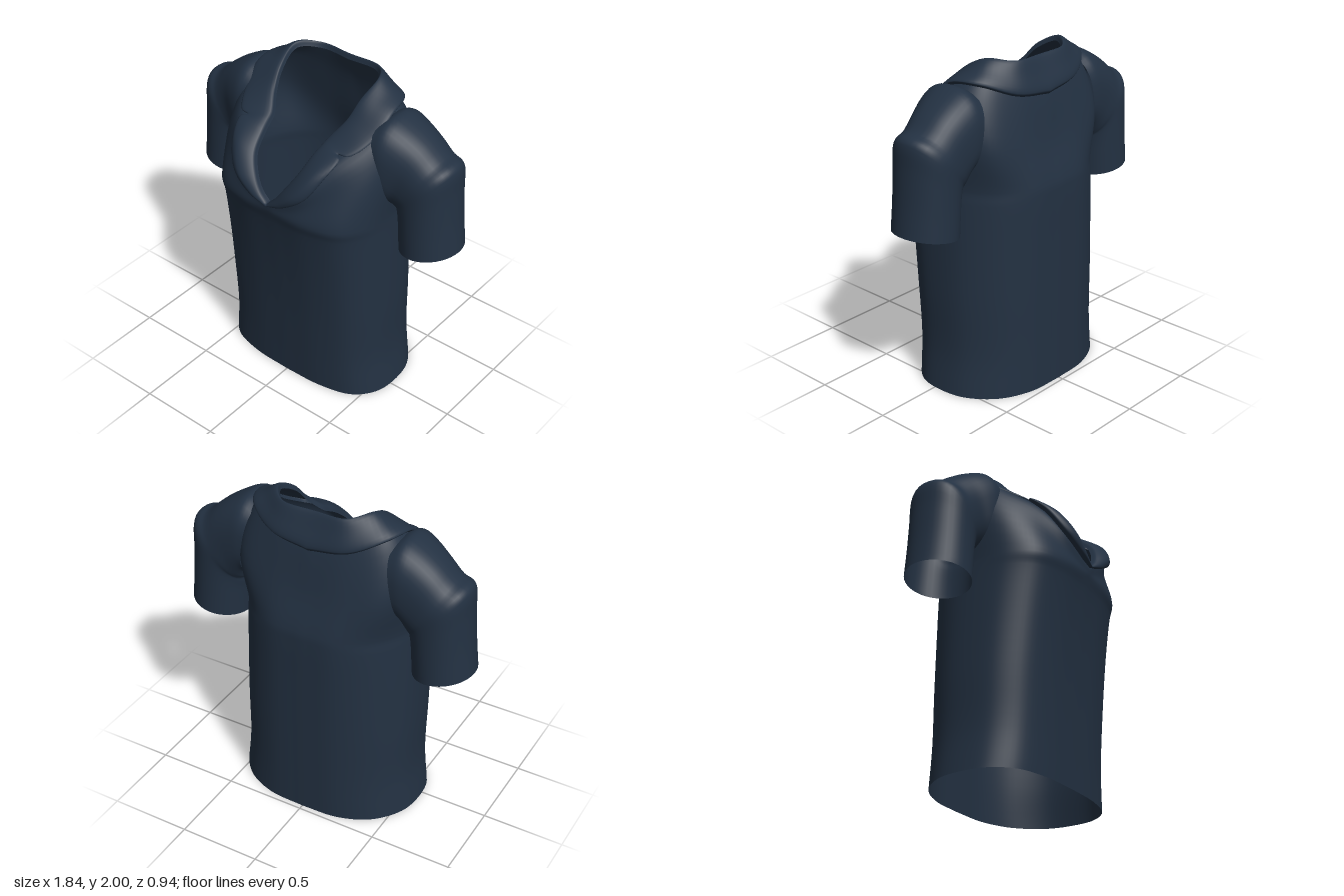
import * as THREE from 'three';

const cloth = new THREE.MeshStandardMaterial({ color: 0x233142, side: THREE.DoubleSide });
cloth.name = 'navy cloth';

const V = (a) => new THREE.Vector3(...a);
const spline = (pts) => new THREE.CatmullRomCurve3(pts, false, 'centripetal');

// Sample a curve so that every control point stays on its own index
const sample = (pts, per) => {
  const n = (pts.length - 1) * per, c = spline(pts);
  return Array.from({ length: n + 1 }, (_, i) => c.getPoint(i / n));
};

// Half outline (front centre to back centre) -> smooth closed ring
const mirrorRing = (half, per) => {
  const s = sample(half.map(V), per);
  const other = s.slice(1, -1).reverse().map((p) => new THREE.Vector3(-p.x, p.y, p.z));
  return [...s, ...other];
};

// Skin a list of closed rings, smoothing from ring to ring
function loft(name, rings, per) {
  const n = rings[0].length;
  const columns = rings[0].map((_, i) => sample(rings.map((r) => r[i]), per));
  const rows = columns[0].length, pos = [], idx = [];
  for (let r = 0; r < rows; r++) for (let i = 0; i < n; i++) pos.push(...columns[i][r].toArray());
  for (let r = 0; r < rows - 1; r++) {
    for (let i = 0; i < n; i++) {
      const a = r * n + i, b = r * n + (i + 1) % n;
      idx.push(a, b, b + n, a, b + n, a + n);
    }
  }
  const g = new THREE.BufferGeometry();
  g.setAttribute('position', new THREE.Float32BufferAttribute(pos, 3));
  g.setIndex(idx);
  g.computeVertexNormals();
  const m = new THREE.Mesh(g, cloth);
  m.name = name;
  return m;
}

// Torso: level rings up to the chest, then rings that climb to the neckline
function torso() {
  const outline = [[0, 1], [.43, .97], [.78, .82], [.955, .52], [1, .14], [.95, -.32], [.73, -.74], [.4, -.96], [0, -1]];
  const level = (y, w, front, back) => outline.map(([x, z]) =>
    [x * w, y, (front + back) / 2 + z * (front - back) / 2]);
  const yoke = [[0, 1.3, .437], [.21, 1.37, .41], [.39, 1.49, .31], [.5, 1.55, .19], [.55, 1.62, .03],
    [.54, 1.62, -.19], [.45, 1.56, -.33], [.24, 1.52, -.395], [0, 1.5, -.405]];
  const collarLine = [[0, 1.335, .438], [.22, 1.46, .41], [.33, 1.62, .3], [.42, 1.73, .15], [.455, 1.83, 0],
    [.44, 1.865, -.17], [.38, 1.85, -.26], [.22, 1.8, -.33], [0, 1.77, -.355]];
  const neck = [[0, 1.342, .43], [.1, 1.44, .41], [.16, 1.57, .34], [.2, 1.71, .18], [.28, 1.84, .04],
    [.29, 1.96, -.15], [.27, 1.955, -.24], [.17, 1.95, -.285], [0, 1.95, -.29]];
  const rings = [
    level(0, .578, .3, -.47), level(.25, .55, .312, -.47), level(.6, .55, .335, -.47),
    level(.95, .545, .372, -.47), level(1.2, .54, .412, -.47), level(1.28, .54, .432, -.465),
    yoke, collarLine, neck,
  ].map((r) => mirrorRing(r, 6));
  return loft('torso', rings, 5);
}

// Notched collar and lapels, rolled over the neckline
function collar() {
  const outer = [[0, 1.335, .458], [.12, 1.38, .462], [.25, 1.47, .432], [.33, 1.61, .345], [.355, 1.69, .25],
    [.325, 1.7, .225], [.38, 1.7, .21], [.45, 1.76, .1], [.475, 1.88, -.06], [.43, 1.89, -.23],
    [.25, 1.82, -.35], [0, 1.785, -.375]];
  const inner = [[0, 1.345, .45], [.055, 1.4, .448], [.11, 1.48, .425], [.165, 1.58, .365], [.19, 1.67, .26],
    [.2, 1.7, .21], [.21, 1.73, .16], [.265, 1.82, .07], [.29, 1.92, -.02], [.3, 1.995, -.17],
    [.2, 1.98, -.285], [0, 1.975, -.29]];
  const bulge = [.003, .015, .035, .035, .02, .015, .015, .015, .01, .006, .008, .008];
  const heart = new THREE.Vector3(0, 1.4, -.1);
  const push = (p, d) => {
    const v = V(p);
    return v.addScaledVector(v.clone().sub(heart).normalize(), d).toArray();
  };
  const middle = outer.map((p, i) => push(p.map((c, k) => (c + inner[i][k]) / 2), bulge[i]));
  const tuck = (row, d) => row.map((p) => push(p, -d));
  const rings = [tuck(outer, .03), outer, middle, inner, tuck(inner, .035)].map((r) => mirrorRing(r, 6));
  return loft('collar', rings, 5);
}

// Sleeve: tilted oval sections from the shoulder, over the cap, down to the cuff
function sleeve(side) {
  // outer x, outer y, inner x, inner y, centre z, half depth
  const sections = [
    [.43, 1.845, .515, 1.38, -.09, .215], [.5, 1.872, .525, 1.36, -.092, .217], [.59, 1.837, .53, 1.34, -.098, .21],
    [.7, 1.765, .535, 1.32, -.11, .195], [.79, 1.69, .54, 1.31, -.115, .19], [.85, 1.67, .54, 1.3, -.115, .19],
    [.875, 1.64, .54, 1.28, -.115, .19], [.885, 1.5, .545, 1.24, -.115, .19],
    [.9, 1.3, .55, 1.16, -.115, .192], [.92, 1.12, .555, 1.06, -.115, .195],
  ];
  const rings = sections.map(([ox, oy, ix, iy, z, d], k) => {
    const e = .75 + .25 * k / (sections.length - 1);
    const soft = (v) => Math.sign(v) * Math.abs(v) ** e;
    return Array.from({ length: 40 }, (_, i) => {
      const t = side * i / 40 * Math.PI * 2, c = soft(Math.cos(t)), s = soft(Math.sin(t));
      return new THREE.Vector3(side * ((ox + ix) / 2 + c * (ox - ix) / 2),
        (oy + iy) / 2 + c * (oy - iy) / 2, z + d * s);
    });
  });
  return loft(side > 0 ? 'leftSleeve' : 'rightSleeve', rings, 4);
}

export function createModel() {
  const shirt = new THREE.Group();
  shirt.name = 'shirt';
  shirt.add(torso(), collar(), sleeve(1), sleeve(-1));
  return shirt;
}
